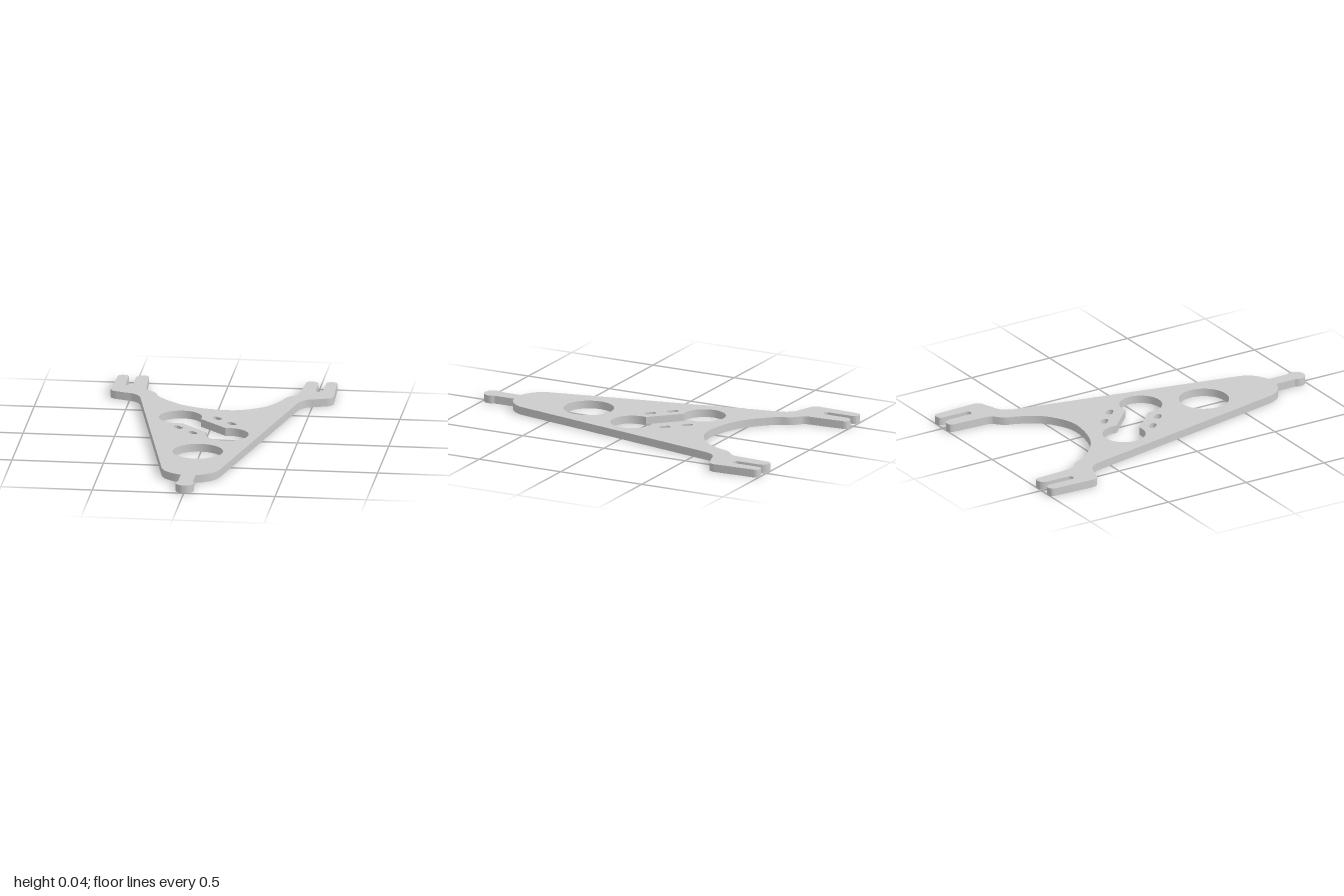
import * as THREE from 'three';
import { toCreasedNormals } from 'three/addons/utils/BufferGeometryUtils.js';

// The plate is drawn in plan: shape y is -z.
const THICKNESS = 0.044;

// Left edge of the plate, from the root of the fork to the tip of the front knob
function leftEdge() {
  const p = new THREE.Path();
  p.moveTo(-0.41, 0.74);
  p.quadraticCurveTo(-0.42, 0.76, -0.42, 0.79);
  // inner prong
  p.lineTo(-0.43, 0.97);
  p.quadraticCurveTo(-0.43, 1, -0.46, 1);
  p.quadraticCurveTo(-0.49, 1, -0.5, 0.96);
  // slot between the prongs
  p.lineTo(-0.5, 0.83);
  p.quadraticCurveTo(-0.5, 0.81, -0.52, 0.81);
  p.quadraticCurveTo(-0.54, 0.81, -0.54, 0.83);
  // outer prong and shoulder
  p.lineTo(-0.54, 0.97);
  p.quadraticCurveTo(-0.54, 1, -0.57, 1);
  p.quadraticCurveTo(-0.6, 1, -0.6, 0.97);
  p.lineTo(-0.61, 0.74);
  p.quadraticCurveTo(-0.61, 0.7, -0.57, 0.69);
  p.lineTo(-0.51, 0.67);
  p.quadraticCurveTo(-0.45, 0.66, -0.43, 0.59);
  // long tapering side and rounded nose
  p.lineTo(-0.16, -0.68);
  p.quadraticCurveTo(-0.14, -0.77, -0.04, -0.8);
  // stem and knob
  p.lineTo(-0.04, -0.92);
  p.absarc(0, -0.95, 0.05, Math.PI - 0.64, Math.PI * 1.5, false);
  return p.getPoints(10);
}

// Two round holes joined by a diagonal channel
function dumbbellHole() {
  const a = -Math.PI / 4, half = 0.58, r = 0.117;
  const p = new THREE.Path();
  p.absarc(-0.17, 0.26, r, a + half, a - half + Math.PI * 2, false);
  p.absarc(0.12, -0.03, r, a + Math.PI + half, a + Math.PI * 3 - half, false);
  p.closePath();
  return p;
}

// Short diagonal slot with round ends
function smallSlot(x, y) {
  const a = -Math.PI / 4, d = 0.01, r = 0.018;
  const p = new THREE.Path();
  p.absarc(x + d, y - d, r, a - Math.PI / 2, a + Math.PI / 2, false);
  p.absarc(x - d, y + d, r, a + Math.PI / 2, a + Math.PI * 1.5, false);
  p.closePath();
  return p;
}

function roundHole(x, y, r) {
  const p = new THREE.Path();
  p.absarc(x, y, r, 0, Math.PI * 2, false);
  return p;
}

export function createModel() {
  const model = new THREE.Group();
  model.name = 'forkedPlate';

  // Slightly lopsided scallop between the forks, right to left
  const scallop = new THREE.SplineCurve([
    [0.41, 0.74], [0.36, 0.69], [0.33, 0.61], [0.27, 0.51], [0.17, 0.44], [0.07, 0.415],
    [-0.07, 0.435], [-0.18, 0.48], [-0.26, 0.545], [-0.33, 0.62], [-0.36, 0.69], [-0.41, 0.74],
  ].map(([x, y]) => new THREE.Vector2(x, y))).getPoints(48);

  const left = leftEdge();
  const right = left.slice(0, -1).reverse().map((v) => new THREE.Vector2(-v.x, v.y));
  const outline = new THREE.Shape([...left, ...right, ...scallop.slice(1, -1)]);

  outline.holes.push(
    roundHole(0, -0.36, 0.137),
    dumbbellHole(),
    ...[[0.03, 0.26], [0.12, 0.17], [-0.16, 0.07], [-0.07, -0.02]].map(([x, y]) => smallSlot(x, y)),
  );

  const geometry = new THREE.ExtrudeGeometry(outline, {
    depth: THICKNESS, bevelEnabled: false, curveSegments: 24,
  });
  geometry.rotateX(-Math.PI / 2);

  const plate = new THREE.Mesh(
    toCreasedNormals(geometry, 0.5),
    new THREE.MeshStandardMaterial({ color: 0xcccccc }),
  );
  plate.name = 'plate';
  model.add(plate);
  return model;
}
